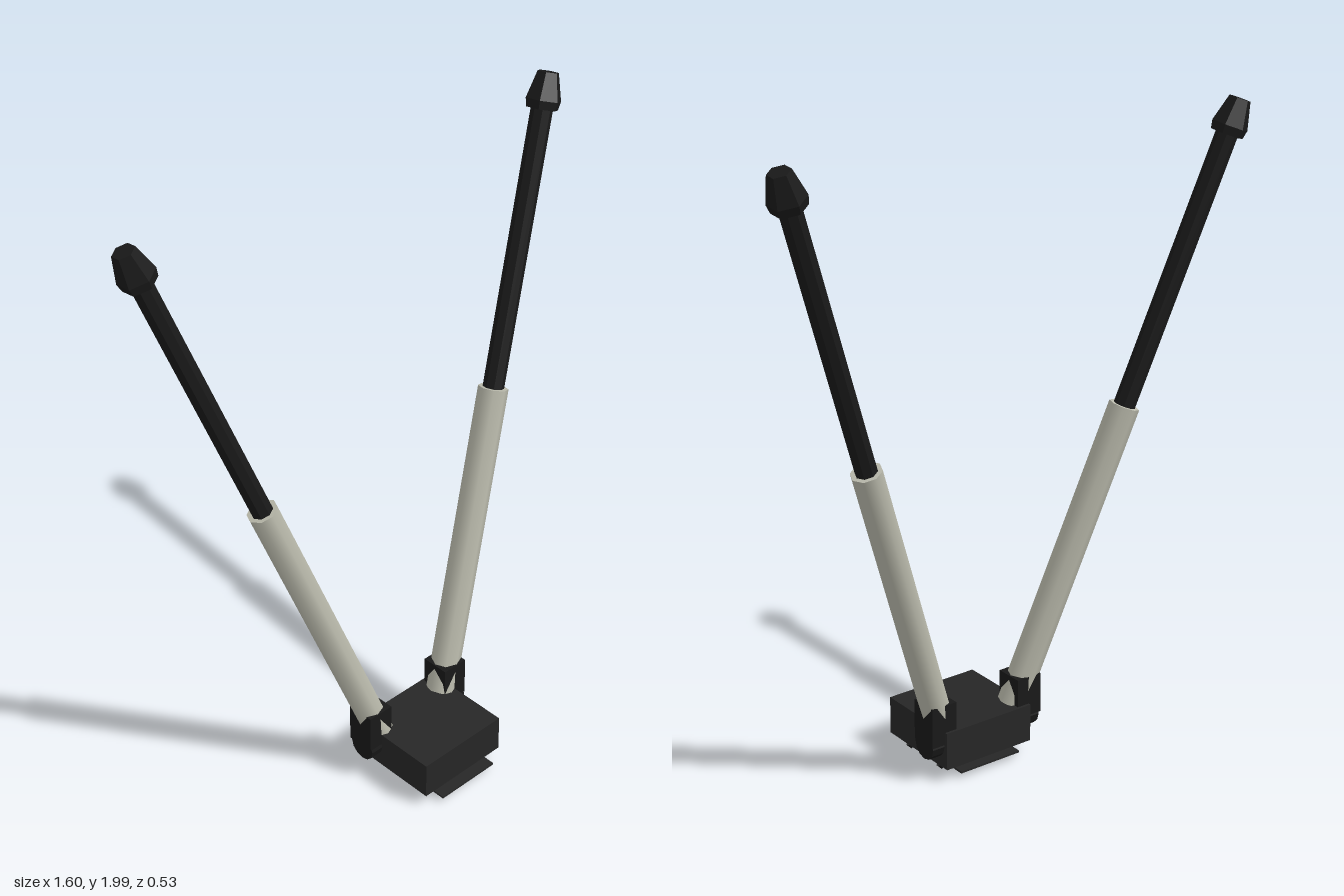
import * as THREE from 'three';

const mat = (name, color, flatShading = false) => {
  const m = new THREE.MeshStandardMaterial({ color, flatShading });
  m.name = name;
  return m;
};

export function createModel() {
  const group = new THREE.Group();
  const charcoal = mat('charcoal', 0x262626, true);
  const black = mat('black', 0x191919, true);
  const ivory = mat('ivory', 0xb9b9ab);

  const add = (parent, name, geometry, material, x = 0, y = 0, z = 0) => {
    const mesh = new THREE.Mesh(geometry, material);
    mesh.name = name;
    mesh.position.set(x, y, z);
    parent.add(mesh);
    return mesh;
  };

  // Base block with a thin foot plate and two small studs beneath it
  add(group, 'base', new THREE.BoxGeometry(0.316, 0.122, 0.298), charcoal, 0, 0.109, 0.091);
  add(group, 'footPlate', new THREE.BoxGeometry(0.22, 0.006, 0.33), charcoal, 0, 0.027, 0.1);
  for (const z of [0.18, 0.02]) {
    add(group, 'stud', new THREE.OctahedronGeometry(0.019), black, 0.122, 0.025, z);
  }

  // Point on the rod axis of one side at a given height
  const onAxis = (side, y) =>
    new THREE.Vector3(side * (0.15 + 0.348 * (y - 0.2)), y, -0.123 * (y - 0.2));

  // Round section between two heights along the rod axis
  const section = (parent, name, side, y0, y1, r0, r1, sides, material) => {
    const a = onAxis(side, y0), b = onAxis(side, y1);
    const geometry = new THREE.CylinderGeometry(r1, r0, a.distanceTo(b), sides);
    const mesh = add(parent, name, geometry, material);
    mesh.position.copy(a).add(b).multiplyScalar(0.5);
    mesh.quaternion.setFromUnitVectors(new THREE.Vector3(0, 1, 0), b.sub(a).normalize());
  };

  for (const side of [1, -1]) {
    const arm = new THREE.Group();
    arm.name = side > 0 ? 'leftArm' : 'rightArm';
    group.add(arm);

    // Hinge: bracket box above a pivot barrel
    add(arm, 'hingeBracket', new THREE.BoxGeometry(0.088, 0.13, 0.092), black, side * 0.16, 0.195, -0.003);
    const pivot = add(arm, 'hingePivot', new THREE.CylinderGeometry(0.046, 0.046, 0.07, 12), black, side * 0.165, 0.122, 0);
    pivot.rotation.z = Math.PI / 2;

    // Telescoping rod
    section(arm, 'lowerTube', side, 0.16, 1.093, 0.047, 0.047, 8, ivory);
    section(arm, 'upperTube', side, 1.07, 1.9, 0.033, 0.033, 8, black);

    // Faceted tip
    section(arm, 'tipCollar', side, 1.888, 1.912, 0.05, 0.055, 6, black);
    section(arm, 'tipCap', side, 1.912, 1.988, 0.055, 0.033, 6, black);
  }
  return group;
}
